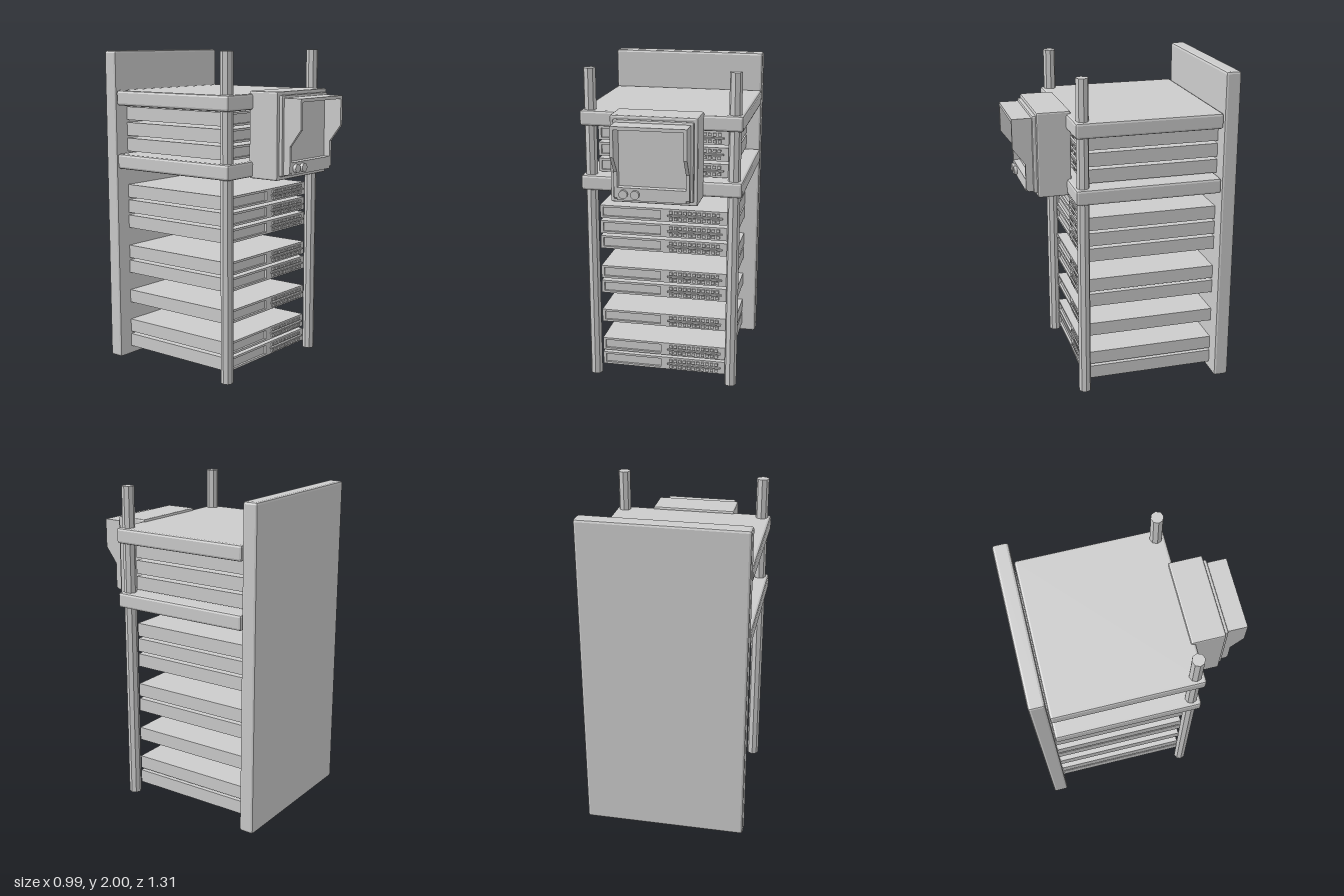
import * as THREE from 'three';
import { mergeGeometries } from 'three/addons/utils/BufferGeometryUtils.js';
import { RoundedBoxGeometry } from 'three/addons/geometries/RoundedBoxGeometry.js';

const grey = new THREE.MeshStandardMaterial({ color: 0xcccccc, flatShading: true });

function add(parent, name, geometry, x = 0, y = 0, z = 0) {
  const mesh = new THREE.Mesh(geometry, grey);
  mesh.name = name;
  mesh.position.set(x, y, z);
  parent.add(mesh);
  return mesh;
}

const box = (w, h, d) => new THREE.BoxGeometry(w, h, d);
const chamferBox = (w, h, d, r) => new RoundedBoxGeometry(w, h, d, 1, r);

// Rectangle outline given by its edges
function rect(Type, x0, y0, x1, y1) {
  return new Type([[x0, y0], [x1, y0], [x1, y1], [x0, y1]].map(p => new THREE.Vector2(...p)));
}

// Flat plate with a rectangular opening
function frame(outer, inner, depth) {
  const shape = rect(THREE.Shape, ...outer);
  shape.holes.push(rect(THREE.Path, ...inner));
  return new THREE.ExtrudeGeometry(shape, { depth, bevelEnabled: false });
}

// Two rows of small ports
function portGeometry() {
  const ports = [];
  for (const y of [-0.021, 0.021]) {
    for (let i = 0; i < 11; i++) ports.push(box(0.02, 0.018, 0.014).translate(0.05 + i * 0.0295, y, 0));
  }
  return mergeGeometries(ports);
}

function createMonitor() {
  const monitor = new THREE.Group();
  monitor.name = 'monitor';
  add(monitor, 'monitorCase', chamferBox(0.52, 0.52, 0.205, 0.01), 0, 1.507, 0.4125);
  add(monitor, 'monitorStep', chamferBox(0.478, 0.475, 0.06, 0.01), 0, 1.508, 0.507);

  // Side cheeks of the hood, cut back below the middle
  const cheek = new THREE.Shape([
    [0.52, 1.28], [0.565, 1.28], [0.58, 1.295], [0.58, 1.45], [0.655, 1.55], [0.655, 1.73], [0.52, 1.73],
  ].map(([z, y]) => new THREE.Vector2(-z, y)));
  const cheekGeometry = new THREE.ExtrudeGeometry(cheek, { depth: 0.02, bevelEnabled: false });
  cheekGeometry.rotateY(Math.PI / 2);
  for (const x of [-0.223, 0.203]) add(monitor, 'hoodCheek', cheekGeometry, x);
  add(monitor, 'hoodTop', box(0.41, 0.02, 0.135), 0, 1.72, 0.5875);

  // Control strip below the screen, with knobs
  add(monitor, 'controlStrip', box(0.41, 0.075, 0.06), 0, 1.3175, 0.55);
  const knob = new THREE.CylinderGeometry(0.026, 0.026, 0.03, 16).rotateX(Math.PI / 2);
  for (const x of [-0.165, -0.095]) add(monitor, 'knob', knob, x, 1.318, 0.585);
  add(monitor, 'screen', box(0.4, 0.35, 0.01), 0, 1.533, 0.536);
  return monitor;
}

export function createModel() {
  const rack = new THREE.Group();
  rack.name = 'serverRack';

  add(rack, 'backPanel', chamferBox(0.99, 1.99, 0.095, 0.015), 0, 1, -0.6075);

  // Front posts
  const post = new THREE.CylinderGeometry(0.038, 0.038, 1.99, 8);
  for (const x of [-0.44, 0.44]) add(rack, 'post', post, x, 1.005, 0.285);

  for (const y of [1.303, 1.703]) add(rack, 'shelf', chamferBox(0.99, 0.095, 0.895, 0.015), 0, y, -0.1095);

  // Server units: body, recessed left bay, port rows with a bar between
  const body = box(0.8, 0.083, 0.81);
  const fascia = frame([-0.4, -0.0415, 0.4, 0.0415], [-0.382, -0.028, -0.017, 0.028], 0.015);
  const ports = portGeometry();
  const bar = box(0.345, 0.009, 0.02);
  for (const y of [0.1, 0.2, 0.4, 0.6, 0.7, 0.9, 1.0, 1.1, 1.4, 1.5, 1.6]) {
    const server = new THREE.Group();
    server.name = 'server';
    server.position.y = y + 0.002;
    add(server, 'serverBody', body, 0, 0, -0.155);
    add(server, 'fascia', fascia, 0, 0, 0.25);
    add(server, 'ports', ports, 0, 0, 0.268);
    add(server, 'portBar', bar, 0.2, 0, 0.27);
    rack.add(server);
  }

  rack.add(createMonitor());
  return rack;
}
